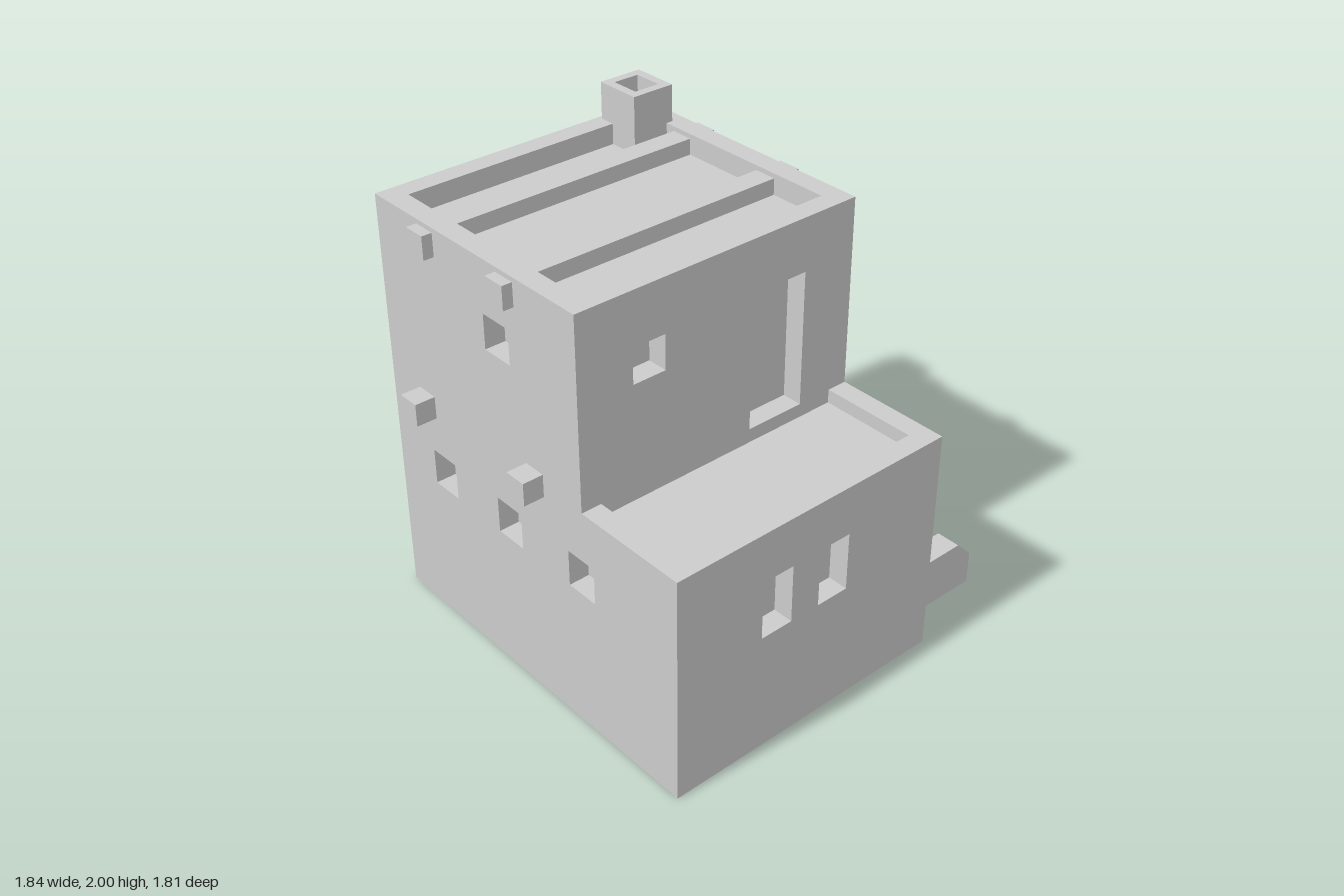
import * as THREE from 'three';

const mat = new THREE.MeshStandardMaterial({ color: 0xcccccc, flatShading: true, side: THREE.DoubleSide });

// Overall extents of the house
const L = -0.83, R = 0.51, BACK = -0.83, FRONT = 0.9, STEP = 0.38, MID = 1.02, TOP = 1.84;
const DEPTH = 0.09;

function mesh(geometry, name, parent) {
  const m = new THREE.Mesh(geometry, mat);
  m.name = name;
  parent.add(m);
  return m;
}

function box(x0, x1, y0, y1, z0, z1, name, parent) {
  const m = mesh(new THREE.BoxGeometry(x1 - x0, y1 - y0, z1 - z0), name, parent);
  m.position.set((x0 + x1) / 2, (y0 + y1) / 2, (z0 + z1) / 2);
  return m;
}

const rect = ([u0, u1, v0, v1]) => [[u0, v0], [u1, v0], [u1, v1], [u0, v1]];
const toPoints = (list) => list.map(([u, v]) => new THREE.Vector2(u, v));

// Box without its front face, sunk behind the plane of a panel
function recess([u0, u1, v0, v1], depth, name, parent) {
  const g = new THREE.BoxGeometry(u1 - u0, v1 - v0, depth);
  const index = Array.from(g.index.array);
  index.splice(24, 6);
  g.setIndex(index);
  g.clearGroups();
  mesh(g, name, parent).position.set((u0 + u1) / 2, (v0 + v1) / 2, -depth / 2);
}

// Flat panel with recessed openings; "notches" are openings that touch its bottom edge.
// The outline starts with the bottom left and bottom right corners.
function panel(parent, name, { outline, openings = [], notches = [], pitch = 0, yaw = 0, offset, depth = DEPTH }) {
  const group = new THREE.Group();
  group.name = name;
  const cuts = notches.flatMap(([u0, u1, v0, v1]) => [[u0, v0], [u0, v1], [u1, v1], [u1, v0]]);
  const shape = new THREE.Shape(toPoints([outline[0], ...cuts, ...outline.slice(1)]));
  openings.forEach((o) => shape.holes.push(new THREE.Path(toPoints(rect(o)))));
  mesh(new THREE.ShapeGeometry(shape), name + 'Surface', group);
  openings.forEach((o) => recess(o, depth, name + 'Opening', group));
  notches.forEach((o) => recess(o, depth, name + 'Doorway', group));
  group.rotation.set(pitch, yaw, 0, 'YXZ');
  group.translateZ(offset);
  parent.add(group);
}

// Low garden wall with a sloped end, running along +x before it is turned
function gardenWall(length, width, name, parent) {
  const shape = new THREE.Shape(toPoints([
    [0, 0.08], [length, 0.08], [length, 0.23], [length - 0.08, 0.31], [0, 0.31],
  ]));
  return mesh(new THREE.ExtrudeGeometry(shape, { depth: width, bevelEnabled: false }), name, parent);
}

export function createModel() {
  const house = new THREE.Group();
  house.name = 'house';

  // Front walls: ground floor and set-back upper floor
  panel(house, 'lowerFrontWall', {
    outline: rect([L, R, 0, MID]), offset: FRONT,
    openings: [[-0.42, -0.27, 0.54, 0.8], [-0.13, 0.02, 0.54, 0.8]],
  });
  panel(house, 'upperFrontWall', {
    outline: rect([L, R, MID, TOP]), offset: STEP,
    openings: [[-0.58, -0.43, 1.46, 1.61]],
    notches: [[-0.01, 0.26, MID, 1.61]],
  });

  // Side at +x (u = -z)
  panel(house, 'doorSideWall', {
    outline: [[-FRONT, 0], [-BACK, 0], [-BACK, TOP], [-STEP, TOP], [-STEP, MID], [-FRONT, MID]],
    yaw: Math.PI / 2, offset: R,
    openings: [
      [-0.13, 0.02, 1.46, 1.61], [0.12, 0.27, 1.46, 1.61], [0.37, 0.52, 1.46, 1.61],
      [0.09, 0.24, 0.64, 0.8],
    ],
    notches: [[-0.62, -0.32, 0, 0.64]],
  });

  // Side at -x (u = z)
  panel(house, 'windowSideWall', {
    outline: [[BACK, 0], [FRONT, 0], [FRONT, MID], [STEP, MID], [STEP, TOP], [BACK, TOP]],
    yaw: -Math.PI / 2, offset: -L,
    openings: [
      [-0.16, -0.01, 1.46, 1.61],
      [-0.58, -0.43, 0.64, 0.8], [-0.15, 0, 0.64, 0.8], [0.29, 0.44, 0.64, 0.8],
    ],
  });

  // Back wall (u = -x)
  panel(house, 'backWall', {
    outline: rect([-R, -L, 0, TOP]), yaw: Math.PI, offset: -BACK,
    openings: [
      [-0.1, 0.05, 1.36, 1.61], [0.19, 0.34, 1.36, 1.61], [-0.26, -0.11, 0.64, 0.8],
    ],
    notches: [[0.31, 0.59, 0, 0.58]],
  });

  // Sunken roof and terrace with their parapets (u = -x, v = z)
  const up = { pitch: -Math.PI / 2, yaw: Math.PI };
  panel(house, 'roof', {
    ...up, outline: rect([-R, -L, BACK, STEP]), offset: TOP,
    openings: [[-0.42, 0.74, -0.74, 0.29]],
  });
  panel(house, 'terrace', {
    ...up, outline: rect([-R, -L, STEP, FRONT]), offset: MID, depth: 0.06,
    notches: [[-0.42, 0.74, STEP, 0.81]],
  });

  // Roof beams whose ends poke through the side walls
  for (const z of [-0.505, -0.015]) box(-0.875, 0.55, 1.72, 1.82, z - 0.05, z + 0.05, 'roofBeam', house);

  // Floor beam ends on the sides and back
  for (const z of [-0.59, 0.105]) {
    box(R, 0.57, 0.97, 1.07, z - 0.05, z + 0.05, 'beamEnd', house);
    box(-0.92, L, 0.97, 1.07, z - 0.05, z + 0.05, 'beamEnd', house);
  }
  for (const x of [-0.425, 0.27]) box(x - 0.05, x + 0.05, 0.97, 1.07, -0.905, BACK, 'beamEnd', house);

  // Hollow chimney
  const flue = new THREE.Shape(toPoints(rect([0.25, 0.45, 0.6, 0.81])));
  flue.holes.push(new THREE.Path(toPoints(rect([0.29, 0.41, 0.64, 0.77]))));
  const chimney = mesh(new THREE.ExtrudeGeometry(flue, { depth: 0.25, bevelEnabled: false }), 'chimney', house);
  chimney.rotation.x = -Math.PI / 2;
  chimney.position.y = 1.75;

  // Garden walls beside the door: a straight one and an L-shaped one
  gardenWall(0.355, 0.11, 'frontGardenWall', house).position.set(R, 0, 0.71);
  box(R, 0.8, 0.08, 0.31, -0.17, -0.065, 'rearGardenWall', house);
  const returnWall = gardenWall(0.45, 0.115, 'rearGardenWallReturn', house);
  returnWall.rotation.y = -Math.PI / 2;
  returnWall.position.set(0.915, 0, -0.17);

  return house;
}
